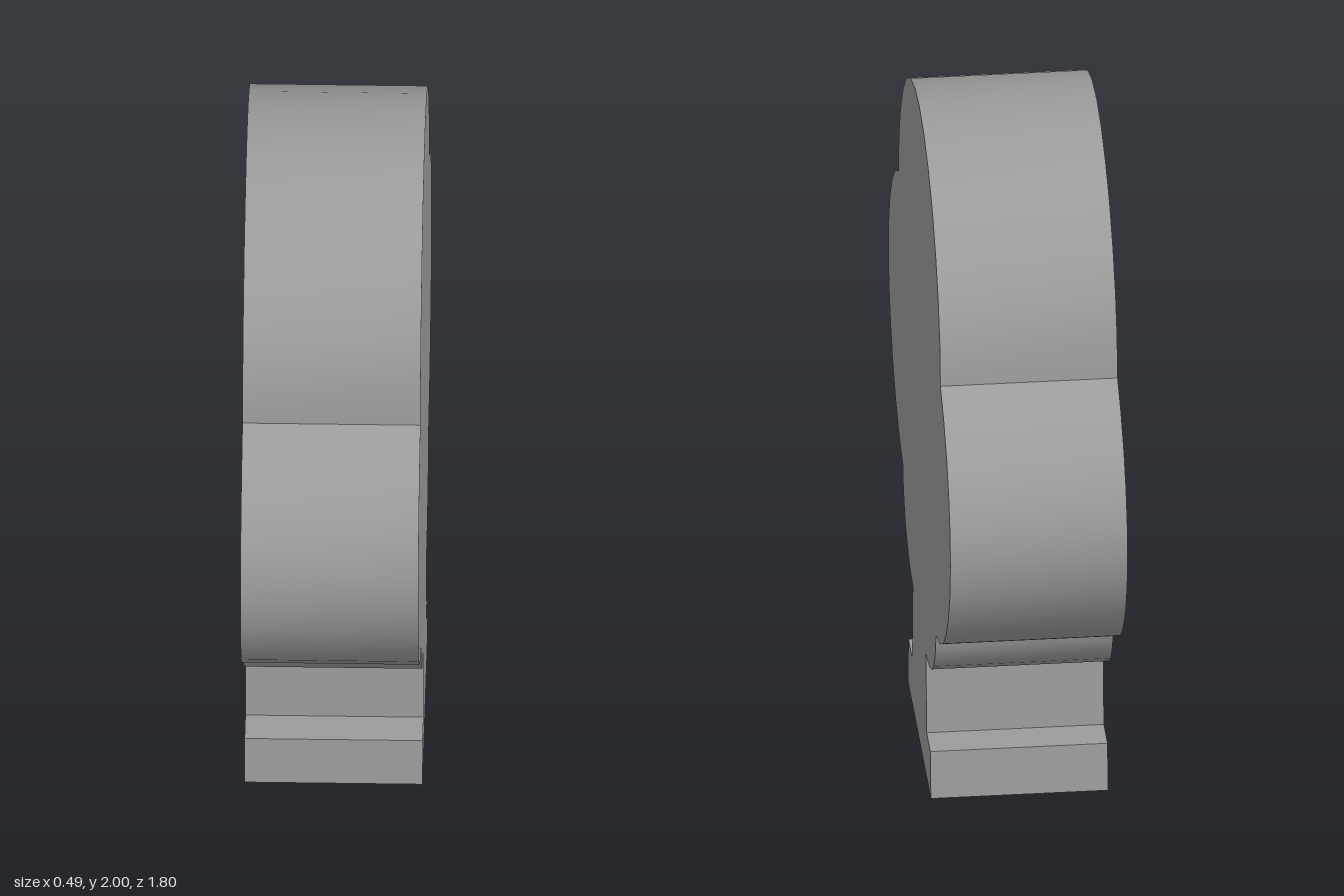
import * as THREE from 'three';
import { toCreasedNormals } from 'three/addons/utils/BufferGeometryUtils.js';

const THICKNESS = 0.49;

// Half outline from the ground up to the crown: [distance from middle, height]
const foot = [[0.332, 0], [0.317, 0.14]];
const trunk = [[0.211, 0.14], [0.19, 0.379]];
const lowerLobe = [[0.25, 0.383], [0.305, 0.398], [0.36, 0.424], [0.41, 0.461],
  [0.447, 0.505], [0.47, 0.551], [0.477, 0.597]];
const sideLobe = [[0.593, 0.634], [0.69, 0.69], [0.775, 0.765], [0.838, 0.85], [0.881, 0.943],
  [0.898, 1.048], [0.888, 1.145], [0.851, 1.24], [0.792, 1.325], [0.705, 1.402], [0.607, 1.457]];
const topLobe = [[0.592, 1.58], [0.546, 1.69], [0.473, 1.79], [0.376, 1.88],
  [0.257, 1.945], [0.13, 1.986]];

export function createModel() {
  const model = new THREE.Group();
  model.name = 'treeCutout';

  // Mirror the half outline around the top point
  const half = [...foot, ...trunk, ...lowerLobe, ...sideLobe, ...topLobe];
  const mirrored = half.map(([x, y]) => [-x, y]).reverse();
  const outline = [...half, [0, 2], ...mirrored].map(([x, y]) => new THREE.Vector2(x, y));

  // Flat slab, turned so its broad faces look along x
  const slab = new THREE.ExtrudeGeometry(new THREE.Shape(outline), {
    depth: THICKNESS, bevelEnabled: false,
  });
  slab.translate(0, 0, -THICKNESS / 2);
  slab.rotateY(Math.PI / 2);

  const tree = new THREE.Mesh(
    toCreasedNormals(slab, 0.6),
    new THREE.MeshStandardMaterial({ color: 0x9b9b9b }),
  );
  tree.name = 'treeSlab';
  model.add(tree);
  return model;
}
